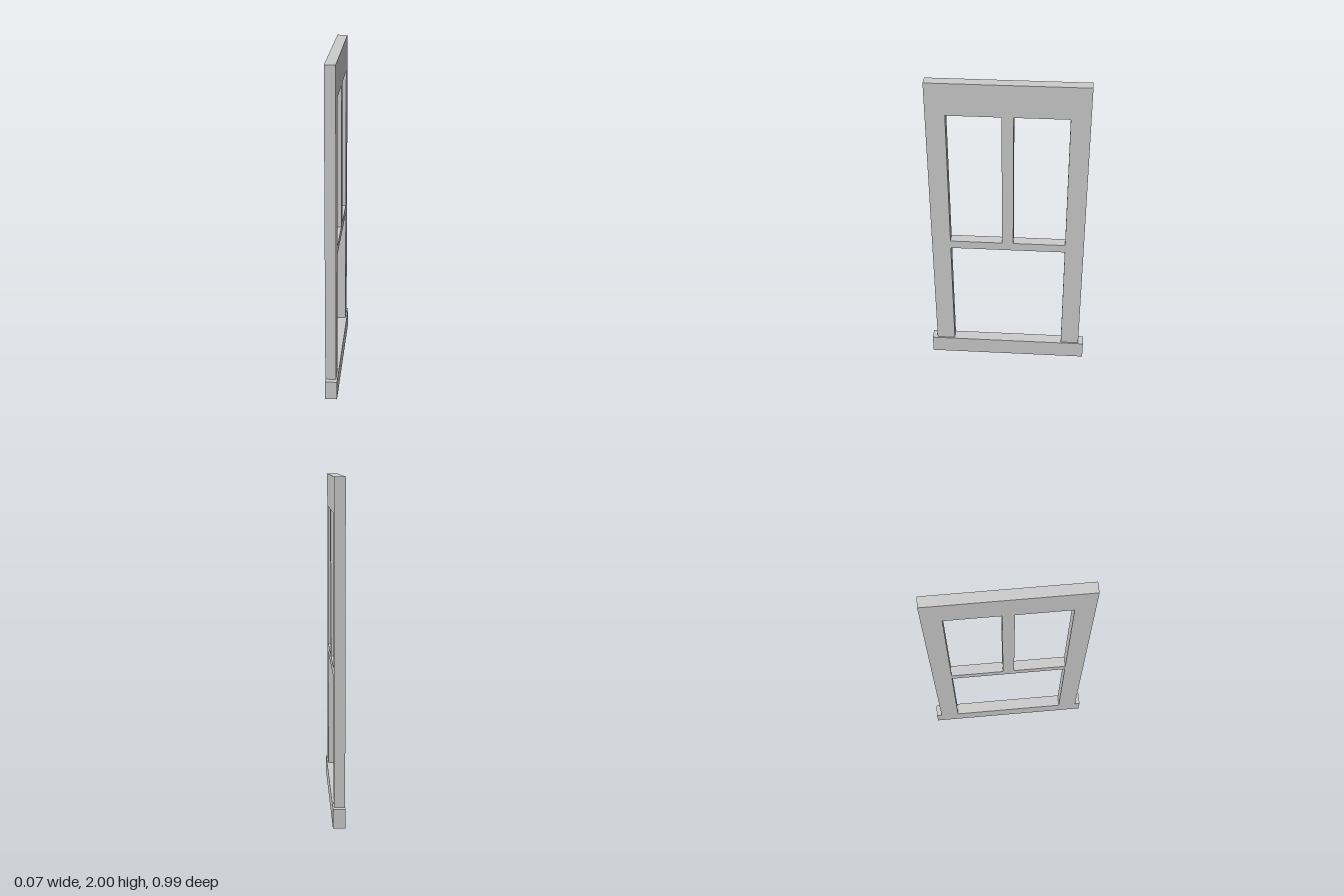
import * as THREE from 'three';

// Shared dimensions: half widths run along z, heights along y, depth along x
const BACK = -0.036, FRAME_FRONT = 0.027, SILL_FRONT = 0.036;
const FRAME_HALF = 0.465, OPENING_HALF = 0.351, MULLION_HALF = 0.034, SILL_HALF = 0.497;
const SILL_TOP = 0.115, RAIL_BOTTOM = 0.867, RAIL_TOP = 0.92, HEAD_BOTTOM = 1.8, TOP = 2;

const points = (list) => list.map(([x, y]) => new THREE.Vector2(x, y));

// Rectangular hole for one glass opening
function opening(x0, x1, y0, y1) {
  return new THREE.Path(points([[x0, y0], [x0, y1], [x1, y1], [x1, y0]]));
}

export function createModel() {
  const model = new THREE.Group();
  model.name = 'windowFrame';
  const grey = new THREE.MeshStandardMaterial({ color: 0xcccccc });
  grey.name = 'plain grey';

  // Jambs, head, rail and mullion: one flush board, open at the bottom onto the sill
  const shape = new THREE.Shape(points([
    [-FRAME_HALF, SILL_TOP], [-OPENING_HALF, SILL_TOP],
    [-OPENING_HALF, RAIL_BOTTOM], [OPENING_HALF, RAIL_BOTTOM],
    [OPENING_HALF, SILL_TOP], [FRAME_HALF, SILL_TOP],
    [FRAME_HALF, TOP], [-FRAME_HALF, TOP],
  ]));
  shape.holes.push(
    opening(-OPENING_HALF, -MULLION_HALF, RAIL_TOP, HEAD_BOTTOM),
    opening(MULLION_HALF, OPENING_HALF, RAIL_TOP, HEAD_BOTTOM),
  );
  const frameGeometry = new THREE.ExtrudeGeometry(shape, {
    depth: FRAME_FRONT - BACK, bevelEnabled: false,
  });
  frameGeometry.rotateY(Math.PI / 2).translate(BACK, 0, 0);
  const frame = new THREE.Mesh(frameGeometry, grey);
  frame.name = 'frame';

  // Wider, deeper sill, flush with the frame on the -x side
  const sill = new THREE.Mesh(
    new THREE.BoxGeometry(SILL_FRONT - BACK, SILL_TOP, SILL_HALF * 2), grey);
  sill.position.set((SILL_FRONT + BACK) / 2, SILL_TOP / 2, 0);
  sill.name = 'sill';

  model.add(frame, sill);
  return model;
}
